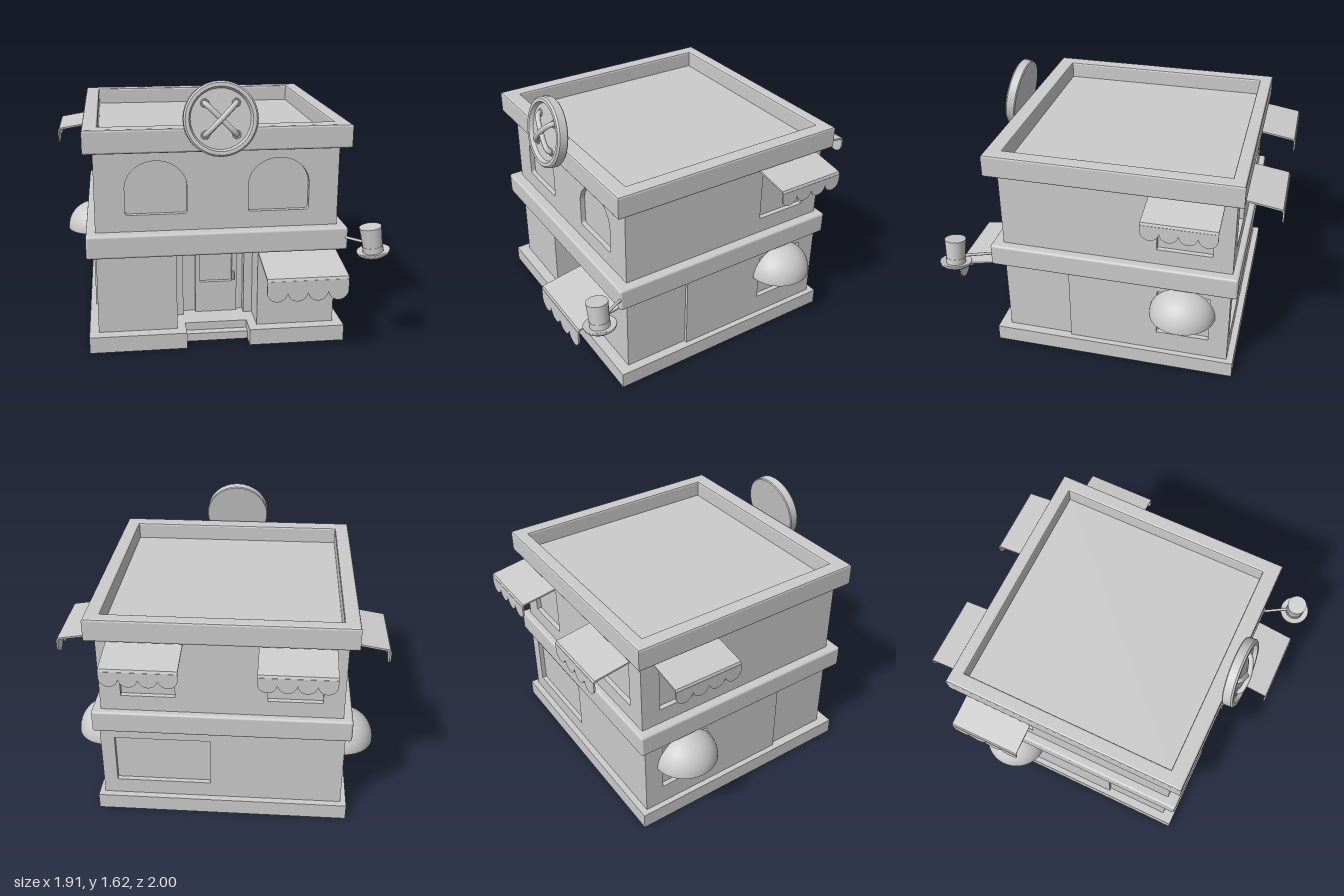
import * as THREE from 'three';
import { RoundedBoxGeometry } from 'three/addons/geometries/RoundedBoxGeometry.js';

const mat = new THREE.MeshStandardMaterial({ color: 0xcccccc });
const thin = new THREE.MeshStandardMaterial({ color: 0xcccccc, side: THREE.DoubleSide });
const V = (x, y, z) => new THREE.Vector3(x, y, z);

export function createModel() {
  const model = new THREE.Group();
  const add = (name, geometry, parent = model, material = mat) => {
    const mesh = new THREE.Mesh(geometry, material);
    mesh.name = name;
    parent.add(mesh);
    return mesh;
  };
  // Box given by its limits on each axis; r rounds the edges
  const box = (name, [x0, x1], [y0, y1], [z0, z1], r = 0) => {
    const s = [x1 - x0, y1 - y0, z1 - z0];
    const g = r ? new RoundedBoxGeometry(...s, 2, r) : new THREE.BoxGeometry(...s);
    return add(name, g.translate((x0 + x1) / 2, (y0 + y1) / 2, (z0 + z1) / 2));
  };
  const polygon = (pts) => new THREE.Shape(pts.map(([x, y]) => new THREE.Vector2(x, y)));
  const rect = (x0, x1, y0, y1) => polygon([[x0, y0], [x1, y0], [x1, y1], [x0, y1]]);
  const extrude = (shape, depth, extra = {}) =>
    new THREE.ExtrudeGeometry(shape, { depth, bevelEnabled: false, curveSegments: 16, ...extra });

  // Hollow base with a notch for the entrance
  const outline = (i) => [[-0.77 + i, -0.72 + i], [-0.19 - i, -0.72 + i], [-0.19 - i, -0.58 + i], [0.19 + i, -0.58 + i],
    [0.19 + i, -0.72 + i], [0.77 - i, -0.72 + i], [0.77 - i, 0.79 - i], [-0.77 + i, 0.79 - i]];
  const flat = (shape, y, h) => extrude(shape, h).rotateX(-Math.PI / 2).translate(0, y, 0);
  const skirt = polygon(outline(0).map(([x, z]) => [x, -z]));
  skirt.holes.push(polygon(outline(0.012).map(([x, z]) => [x, -z])));
  // Outline is listed with front at negative, so flip it to face +z
  const flip = (pts) => polygon(pts.map(([x, z]) => [x, z]));
  const skirtShape = flip(outline(0));
  skirtShape.holes.push(flip(outline(0.012)));
  add('baseSkirt', flat(skirtShape, 0, 0.09));
  add('baseFloor', flat(flip(outline(0)), 0.085, 0.015));
  box('entranceStep', [-0.19, 0.19], [0, 0.05], [0.56, 0.63]);

  // Inner cores seen through the window recesses
  box('lowerCore', [-0.705, 0.705], [0.1, 0.62], [-0.72, 0.4]);
  box('upperCore', [-0.685, 0.685], [0.62, 1.24], [-0.72, 0.62]);

  // Wall panel with window openings, turned to face the given angle
  const wall = (name, angle, dist, u0, u1, y0, y1, holes = []) => {
    const shape = rect(u0, u1, y0, y1);
    shape.holes.push(...holes);
    add(name, extrude(shape, 0.03).translate(0, 0, dist - 0.03).rotateY(angle));
  };
  const arch = (cx) => {
    const p = new THREE.Path();
    p.moveTo(cx - 0.16, 0.83).lineTo(cx + 0.16, 0.83);
    p.quadraticCurveTo(cx + 0.18, 0.83, cx + 0.18, 0.85);
    p.lineTo(cx + 0.18, 0.99);
    p.absellipse(cx, 0.99, 0.18, 0.16, 0, Math.PI, false);
    p.lineTo(cx - 0.18, 0.85);
    p.quadraticCurveTo(cx - 0.18, 0.83, cx - 0.16, 0.83);
    return p;
  };
  const H = Math.PI / 2;
  wall('upperFrontWall', 0, 0.65, -0.715, 0.715, 0.7, 1.23, [arch(-0.36), arch(0.36)]);
  wall('upperBackWall', Math.PI, 0.75, -0.685, 0.685, 0.7, 1.23,
    [rect(-0.59, -0.27, 0.83, 1.13), rect(0.27, 0.59, 0.83, 1.13)]);
  wall('lowerBackWall', Math.PI, 0.75, -0.705, 0.705, 0.1, 0.6, [rect(-0.65, -0.07, 0.2, 0.52)]);
  for (const s of [1, -1]) {
    const span = (a, b) => (s > 0 ? [a, b] : [-b, -a]);
    wall('upperSideWall', s * H, 0.715, ...span(-0.62, 0.75), 0.7, 1.23, [rect(...span(0.3, 0.63), 0.83, 1.13)]);
    wall('lowerSideWall', s * H, 0.735, ...span(-0.24, 0.75), 0.1, 0.6, [rect(...span(0.31, 0.63), 0.23, 0.54)]);
    const mirror = (a, b) => (s > 0 ? [a, b] : [-b, -a]);
    box('shopFrontBlock', mirror(0.243, 0.715), [0.1, 0.6], [0.2, 0.65]);
    box('entrancePost', mirror(0.19, 0.243), [0.1, 0.6], [0.39, 0.46]);
  }

  // Door with raised frame, window and handle
  const frame = rect(-0.11, 0.15, 0.1, 0.59);
  frame.holes.push(rect(-0.08, 0.12, 0.3, 0.55));
  add('door', extrude(frame, 0.025).translate(0, 0, 0.4));
  box('doorHandle', [0.118, 0.135], [0.31, 0.37], [0.42, 0.445], 0.005);

  // Middle band, parapet and sunken roof
  box('middleBand', [-0.77, 0.77], [0.59, 0.73], [-0.79, 0.72], 0.015);
  const b = 0.012;
  const ring = rect(-0.77 + b, 0.77 - b, -0.72 + b, 0.79 - b);
  ring.holes.push(rect(-0.68 - b, 0.68 + b, -0.62 - b, 0.71 + b).clone());
  add('parapet', extrude(ring, 0.14 - 2 * b, { bevelEnabled: true, bevelSize: b, bevelThickness: b, bevelSegments: 2 })
    .rotateX(-H).translate(0, 1.21 + b, 0));
  box('roof', [-0.74, 0.74], [1.215, 1.245], [-0.76, 0.69]);

  // Awning: sloping sheet and a scalloped valance
  const awning = (angle, u, w, from, out, top, fold, cusp) => {
    const g = new THREE.Group();
    g.name = 'awning';
    g.rotation.y = angle;
    model.add(g);
    const t = 0.01;
    const side = polygon([[from - 0.02, top - t], [out - 0.015, fold - t], [out - t, fold - 0.02],
      [out, fold - 0.02], [out - 0.008, fold], [from - 0.02, top]]);
    add('awningSheet', extrude(side, w).rotateY(-H).translate(u + w / 2, 0, 0), g, thin);
    const r = w / 8;
    const edge = new THREE.Shape();
    edge.moveTo(u - w / 2, fold - 0.015).lineTo(u - w / 2, cusp);
    for (let i = 0; i < 4; i++) edge.absarc(u - w / 2 + r * (2 * i + 1), cusp, r, Math.PI, 2 * Math.PI, false);
    edge.lineTo(u + w / 2, fold - 0.015);
    add('awningValance', extrude(edge, t).translate(0, 0, out - t), g, thin);
  };
  awning(0, 0.477, 0.472, 0.65, 0.97, 0.585, 0.525, 0.445);
  awning(H, 0.467, 0.43, 0.715, 0.957, 1.205, 1.163, 1.11);
  awning(-H, -0.467, 0.43, 0.715, 0.957, 1.205, 1.163, 1.11);
  for (const u of [-0.432, 0.432]) awning(Math.PI, u, 0.435, 0.75, 1, 1.205, 1.163, 1.11);

  // Quarter-sphere canopies over the lower side windows
  for (const s of [1, -1]) {
    const canopy = new THREE.Group();
    canopy.name = 'domeCanopy';
    canopy.position.set(s * 0.735, 0.4, -0.467);
    canopy.rotation.y = s * H;
    model.add(canopy);
    for (const k of [1, 0.94]) {
      add('canopyShell', new THREE.SphereGeometry(1, 24, 12, 0, Math.PI, 0, H).scale(0.2 * k, 0.185 * k, 0.192 * k), canopy, thin);
    }
    add('canopyRim', new THREE.RingGeometry(0.94, 1, 24, 1, 0, Math.PI).rotateX(H).scale(0.2, 1, 0.192), canopy, thin);
  }

  // Leaning button sign with crossed thread
  const sign = new THREE.Group();
  sign.name = 'buttonSign';
  sign.position.set(0, 1.405, 0.75);
  sign.rotation.x = -0.17;
  model.add(sign);
  const lathe = (pts, n) => new THREE.LatheGeometry(pts.map(([x, y]) => new THREE.Vector2(x, y)), n);
  add('buttonDisc', lathe([[0, -0.032], [0.205, -0.032], [0.205, -0.032], [0.21, -0.026], [0.21, -0.026], [0.21, 0.022],
    [0.21, 0.022], [0.2, 0.032], [0.2, 0.032], [0.18, 0.032], [0.18, 0.032], [0.17, 0.008], [0.17, 0.008], [0, 0.008]], 32)
    .rotateX(H), sign);
  for (const s of [1, -1]) {
    const lift = s > 0 ? 0.05 : 0.038;
    const path = new THREE.CatmullRomCurve3([V(-0.09, -0.09 * s, 0), V(-0.082, -0.082 * s, 0.025),
      V(0, 0, lift), V(0.082, 0.082 * s, 0.025), V(0.09, 0.09 * s, 0)]);
    add('thread', new THREE.TubeGeometry(path, 24, 0.016, 8), sign);
    for (const e of [1, -1]) {
      add('threadHole', new THREE.TorusGeometry(0.02, 0.005, 6, 16).translate(0.088 * e, 0.088 * e * s, 0.009), sign);
    }
  }

  // Top hat sign on a bracket at the corner
  const hat = new THREE.Group();
  hat.name = 'hatSign';
  hat.position.set(0.865, 0.638, 0.905);
  hat.rotation.z = 0.17;
  model.add(hat);
  add('hatBrim', lathe([[0, -0.012], [0.075, -0.012], [0.09, 0], [0.095, 0.012], [0.095, 0.018], [0.088, 0.018],
    [0.06, 0.01], [0, 0.01]], 24), hat);
  add('hatBand', new THREE.CylinderGeometry(0.059, 0.059, 0.035, 24).translate(0, 0.028, 0), hat);
  add('hatCrown', new THREE.CylinderGeometry(0.063, 0.055, 0.15, 24).translate(0, 0.085, 0), hat);
  add('hatBracket', new THREE.TubeGeometry(new THREE.LineCurve3(V(0.75, 0.665, 0.7), V(0.85, 0.685, 0.88)), 1, 0.009, 8));

  return model;
}
